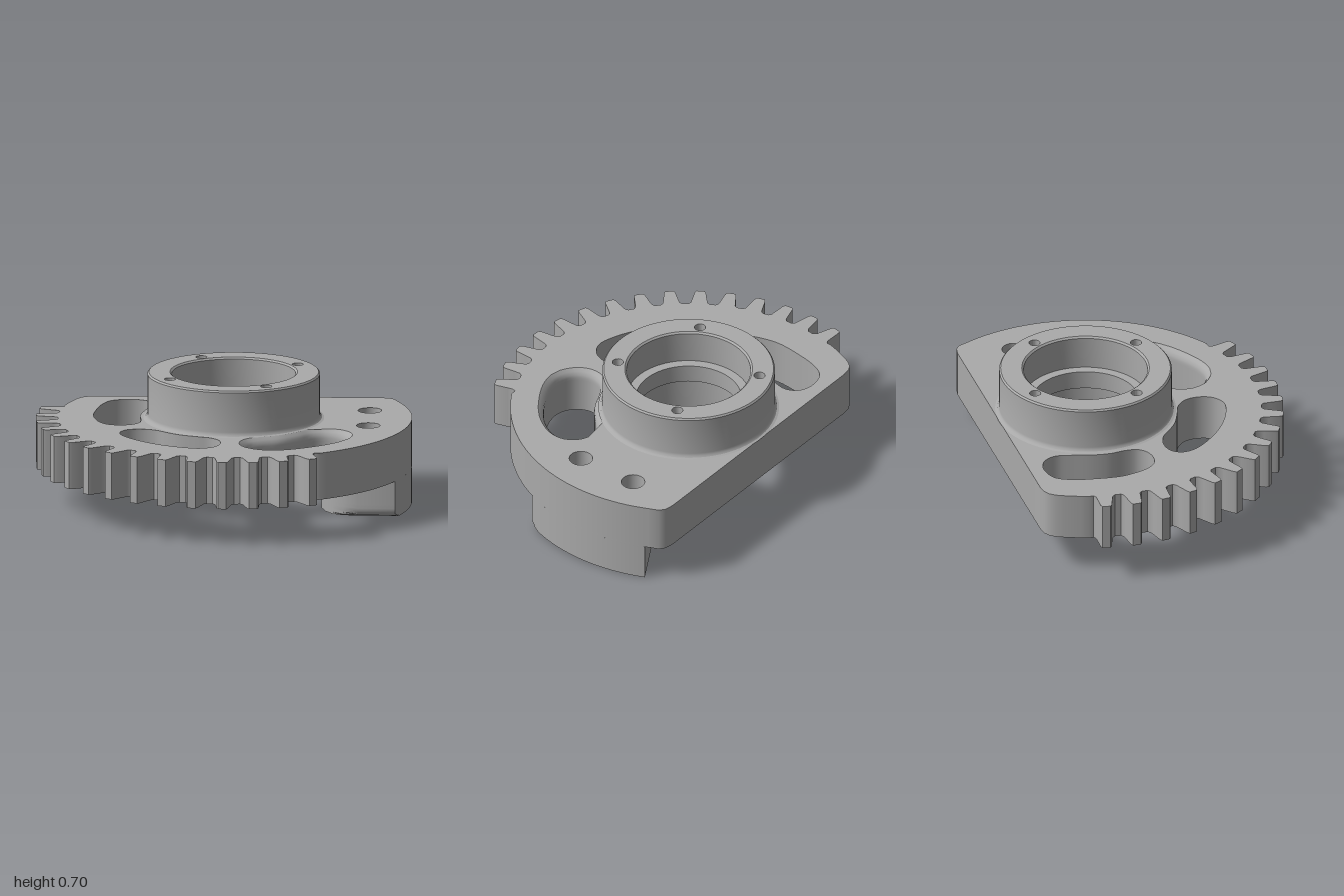
import * as THREE from 'three';
import { toCreasedNormals } from 'three/addons/utils/BufferGeometryUtils.js';

const CX = 0.05, CZ = -0.28;            // shared centre of hub and gear
const BASE = 0.2, TOP = 0.455, RIM = 0.705;
const rad = THREE.MathUtils.degToRad;

// Plan point (x, z) as a shape point; shapes are later laid flat
const P = (x, z) => new THREE.Vector2(x, -z);
const polar = (deg, r) => P(CX + r * Math.cos(rad(deg)), CZ + r * Math.sin(rad(deg)));
const plan = (pts) => pts.map(([x, z]) => P(x, z));

function arc(from, to, r, n) {
  return Array.from({ length: n + 1 }, (_, i) => polar(from + (to - from) * i / n, r));
}
function circle(x, z, r, n = 28) {
  return new THREE.Path(Array.from({ length: n }, (_, i) => {
    const a = i / n * Math.PI * 2;
    return P(x + r * Math.cos(a), z + r * Math.sin(a));
  }));
}
function slot(pts) {
  const curve = new THREE.SplineCurve([...plan(pts), P(...pts[0])]);
  const closed = new THREE.CatmullRomCurve3(
    curve.points.slice(0, -1).map(p => new THREE.Vector3(p.x, p.y, 0)), true);
  return new THREE.Path(closed.getPoints(56).slice(0, -1).map(p => new THREE.Vector2(p.x, p.y)));
}
// Extrude a plan shape upward, optionally moving its vertices by a rule
function slab(outline, holes, y, height, steps, rule) {
  const shape = new THREE.Shape(outline);
  shape.holes.push(...holes);
  const geo = new THREE.ExtrudeGeometry(shape, { depth: height, steps, bevelEnabled: false });
  geo.rotateX(-Math.PI / 2).translate(0, y, 0);
  const pos = geo.attributes.position, v = new THREE.Vector3();
  for (let i = 0; i < pos.count; i++) {
    rule(v.fromBufferAttribute(pos, i));
    pos.setXYZ(i, v.x, v.y, v.z);
  }
  return toCreasedNormals(geo, 0.6);
}
function lathe(pts, n) {
  const geo = new THREE.LatheGeometry(pts.map(p => new THREE.Vector2(...p)), n);
  return toCreasedNormals(geo, 0.5);
}

export function createModel() {
  const group = new THREE.Group();
  const metal = new THREE.MeshStandardMaterial({ color: 0xaaaaaa, side: THREE.DoubleSide });
  metal.name = 'grey metal';
  const add = (name, geo, x = 0, y = 0, z = 0) => {
    const mesh = new THREE.Mesh(geo, metal);
    mesh.name = name;
    mesh.position.set(x, y, z);
    group.add(mesh);
  };

  // Sector plate: plain arc, fifteen teeth, rounded corners and a straight back
  const outline = arc(-26, 58, 0.95, 36);
  const tooth = [[-3.5, 0.937], [-2.7, 0.95], [-2.3, 0.98], [-1.65, 1.04], [-1.2, 1.055]];
  for (let k = -3; k <= 11; k++) {
    const a = 90.3 + 9 * k;
    tooth.forEach(([d, r]) => outline.push(polar(a + d, r)));
    [...tooth].reverse().forEach(([d, r]) => outline.push(polar(a - d, r)));
  }
  outline.push(...arc(194, 205, 0.942, 4));
  outline.push(...plan([[-0.78, -0.71], [-0.75, -0.728], [-0.7, -0.737],
    [0.8, -0.78], [0.85, -0.773], [0.88, -0.75]]));

  const leftSlot = slot([[-0.54, -0.665], [-0.48, -0.662], [-0.43, -0.635], [-0.4, -0.575],
    [-0.41, -0.5], [-0.44, -0.38], [-0.45, -0.28], [-0.44, -0.2], [-0.447, -0.13],
    [-0.49, -0.085], [-0.56, -0.07], [-0.62, -0.09], [-0.66, -0.14], [-0.69, -0.23],
    [-0.7, -0.3], [-0.69, -0.42], [-0.665, -0.55], [-0.62, -0.635]]);
  const frontSlot = slot([[-0.43, 0.02], [-0.35, 0.04], [-0.29, 0.09], [-0.22, 0.14],
    [-0.12, 0.18], [-0.05, 0.205], [0, 0.26], [0.01, 0.34], [-0.02, 0.41], [-0.09, 0.448],
    [-0.2, 0.425], [-0.33, 0.36], [-0.45, 0.26], [-0.525, 0.16], [-0.535, 0.09], [-0.5, 0.038]]);
  const rightSlot = slot([[0.55, -0.02], [0.63, 0.01], [0.67, 0.07], [0.665, 0.15],
    [0.6, 0.26], [0.48, 0.36], [0.35, 0.43], [0.26, 0.44], [0.18, 0.4], [0.14, 0.32],
    [0.16, 0.24], [0.23, 0.19], [0.33, 0.14], [0.42, 0.06], [0.48, 0]]);
  const boltHoles = () => [circle(0.765, -0.48, 0.063), circle(0.775, -0.13, 0.063)];

  // The right slot flares out softly at its upper edge
  const axis = new THREE.Line3(new THREE.Vector3(0.27, 0, 0.31), new THREE.Vector3(0.55, 0, 0.11));
  const near = new THREE.Vector3(), flat = new THREE.Vector3();
  const flare = (v) => {
    axis.closestPointToPoint(flat.set(v.x, 0, v.z), true, near);
    const d = flat.distanceTo(near), t = (v.y - (TOP - 0.045)) / 0.045;
    if (d > 0.19 || t <= 0) return;
    const s = 0.03 * t * t / d;
    v.x += (v.x - near.x) * s;
    v.z += (v.z - near.z) * s;
  };
  add('sectorPlate', slab(outline,
    [circle(CX, CZ, 0.4, 64), leftSlot, frontSlot, rightSlot, ...boltHoles()],
    BASE, TOP - BASE, 16, flare));

  // Hub: outer wall with a base fillet, stepped bore and drilled rim
  add('hubWall', lathe([[0.33, BASE], [0.4, BASE], [0.4, TOP], [0.482, TOP], [0.47, 0.459],
    [0.463, 0.467], [0.46, 0.48], [0.46, 0.696], [0.452, RIM]], 72), CX, 0, CZ);
  add('hubBore', lathe([[0.34, RIM], [0.33, 0.696], [0.33, 0.52], [0.28, 0.52],
    [0.28, 0.42], [0.33, 0.42], [0.33, BASE]], 72), CX, 0, CZ);
  const screwSpots = [0, 1, 2, 3].map(i => {
    const a = rad(-30 + 90 * i);
    return [CX + 0.382 * Math.cos(a), CZ + 0.382 * Math.sin(a)];
  });
  const rim = new THREE.Shape(arc(0, 355, 0.452, 71));
  rim.holes.push(circle(CX, CZ, 0.34, 72), ...screwSpots.map(([x, z]) => circle(x, z, 0.03, 20)));
  add('hubRim', new THREE.ShapeGeometry(rim).rotateX(-Math.PI / 2), 0, RIM, 0);
  const screwHole = lathe([[0.03, 0], [0.03, -0.05], [0, -0.068]], 20);
  screwSpots.forEach(([x, z]) => add('screwHole', screwHole, x, RIM, z));

  // Foot pad below the plain side, its front lower edge rounded
  const pad = [...arc(-24.9, 22.3, 0.95, 24),
    ...plan([[0.73, 0.08], [0.65, 0.045], [0.59, 0], [0.55, -0.06], [0.525, -0.14],
      [0.52, -0.23], [0.53, -0.33], [0.56, -0.42], [0.62, -0.5]])];
  const roundFront = (v) => {
    if (v.y >= 0.05) return;
    const k = 1 - v.y / 0.05;
    v.z = Math.min(v.z, 0.03 + 0.05 * Math.sqrt(Math.max(0, 1 - k * k)));
  };
  add('footPad', slab(pad,
    [...boltHoles(), circle(0.905, -0.305, 0.055), circle(0.635, -0.305, 0.055)],
    0, BASE, 20, roundFront));

  return group;
}
